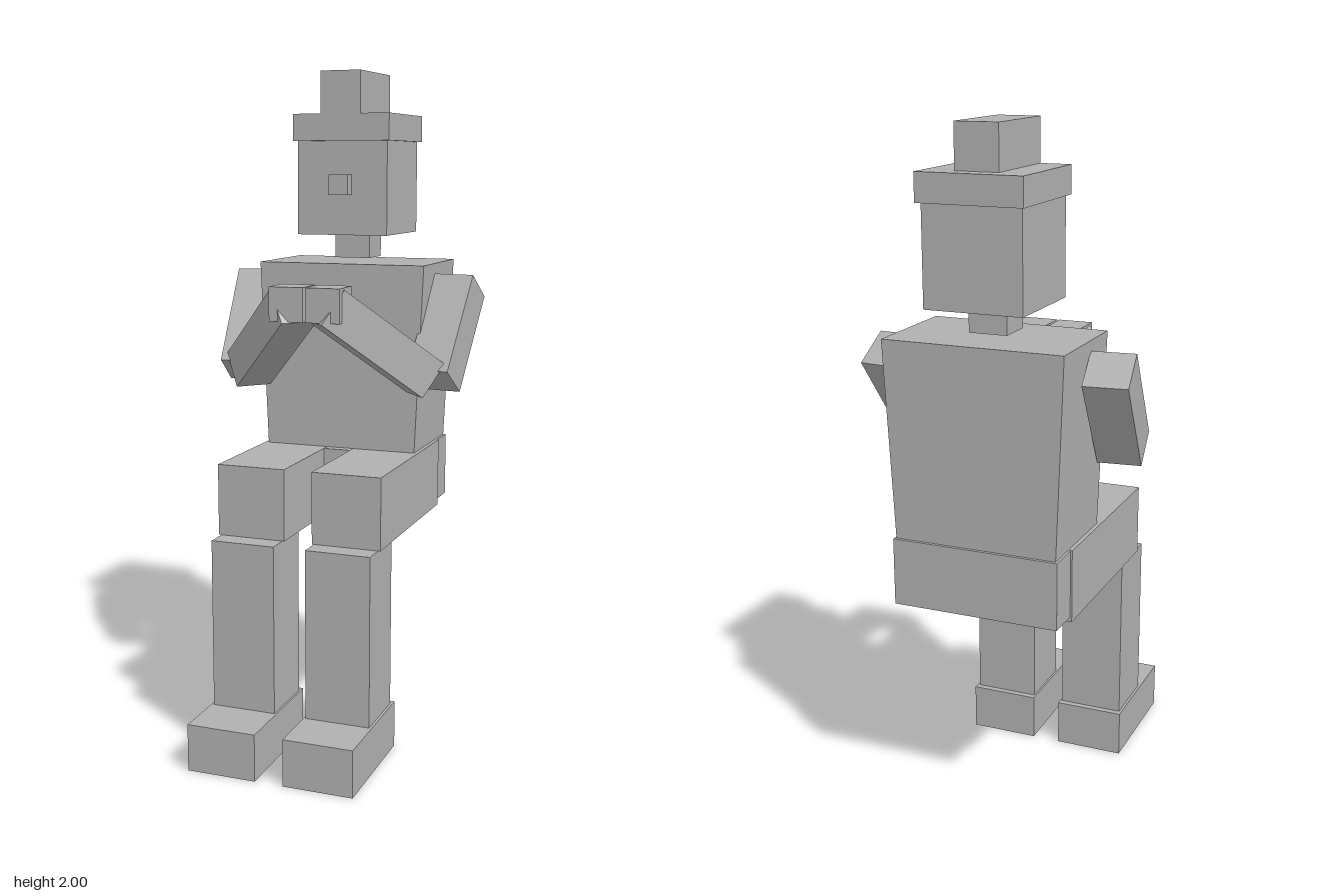
import * as THREE from 'three';

export function createModel() {
  const model = new THREE.Group();
  model.name = 'seatedFigure';
  const grey = new THREE.MeshStandardMaterial({ color: 0xb0b0b0 });
  grey.name = 'plain grey';

  // Box given by its extents along each axis
  function block(name, [x0, x1], [y0, y1], [z0, z1]) {
    const mesh = new THREE.Mesh(new THREE.BoxGeometry(x1 - x0, y1 - y0, z1 - z0), grey);
    mesh.position.set((x0 + x1) / 2, (y0 + y1) / 2, (z0 + z1) / 2);
    mesh.name = name;
    model.add(mesh);
    return mesh;
  }

  // Tilted box: pitched first, then turned about the vertical
  function limb(name, size, position, pitch, yaw) {
    const mesh = new THREE.Mesh(new THREE.BoxGeometry(...size), grey);
    mesh.position.set(...position);
    mesh.rotation.set(pitch, yaw, 0, 'YXZ');
    mesh.name = name;
    model.add(mesh);
  }

  // Torso, narrowing slightly to the waist
  const torso = block('torso', [-0.264, 0.264], [0.858, 1.428], [-0.457, -0.125]);
  const p = torso.geometry.attributes.position;
  for (let i = 0; i < p.count; i++) {
    if (p.getY(i) < 0) {
      p.setX(i, p.getX(i) * 0.91);
      if (p.getZ(i) < 0) p.setZ(i, p.getZ(i) + 0.007);
    }
  }
  torso.geometry.computeVertexNormals();
  block('pelvis', [-0.247, 0.247], [0.66, 0.857], [-0.457, -0.1]);

  // Head and hat
  block('neck', [-0.056, 0.056], [1.44, 1.514], [-0.344, -0.233]);
  block('head', [-0.143, 0.143], [1.514, 1.795], [-0.44, -0.138]);
  block('nose', [-0.03, 0.03], [1.635, 1.695], [-0.138, -0.102]);
  block('hatBrim', [-0.153, 0.153], [1.795, 1.875], [-0.457, -0.123]);
  block('hatCrown', [-0.063, 0.063], [1.875, 2], [-0.403, -0.123]);

  for (const [side, s] of [['left', 1], ['right', -1]]) {
    const span = (a, b) => (s > 0 ? [a, b] : [-b, -a]);
    // Legs
    block(side + 'Thigh', span(0.043, 0.252), [0.645, 0.858], [-0.355, 0.228]);
    block(side + 'Shin', span(0.049, 0.244), [0.14, 0.645], [0.102, 0.296]);
    block(side + 'Foot', span(0.043, 0.252), [0, 0.14], [0.083, 0.457]);
    // Arms, folded forward so the hands meet before the chest
    limb(side + 'UpperArm', [0.127, 0.333, 0.125], [s * 0.318, 1.225, -0.195], -0.625, -s * 0.113);
    limb(side + 'Forearm', [0.115, 0.12, 0.39], [s * 0.168, 1.212, 0.025], -0.623, -s * 0.848);
    block(side + 'Hand', span(0.004, 0.108), [1.28, 1.38], [0.074, 0.178]);
  }
  return model;
}
